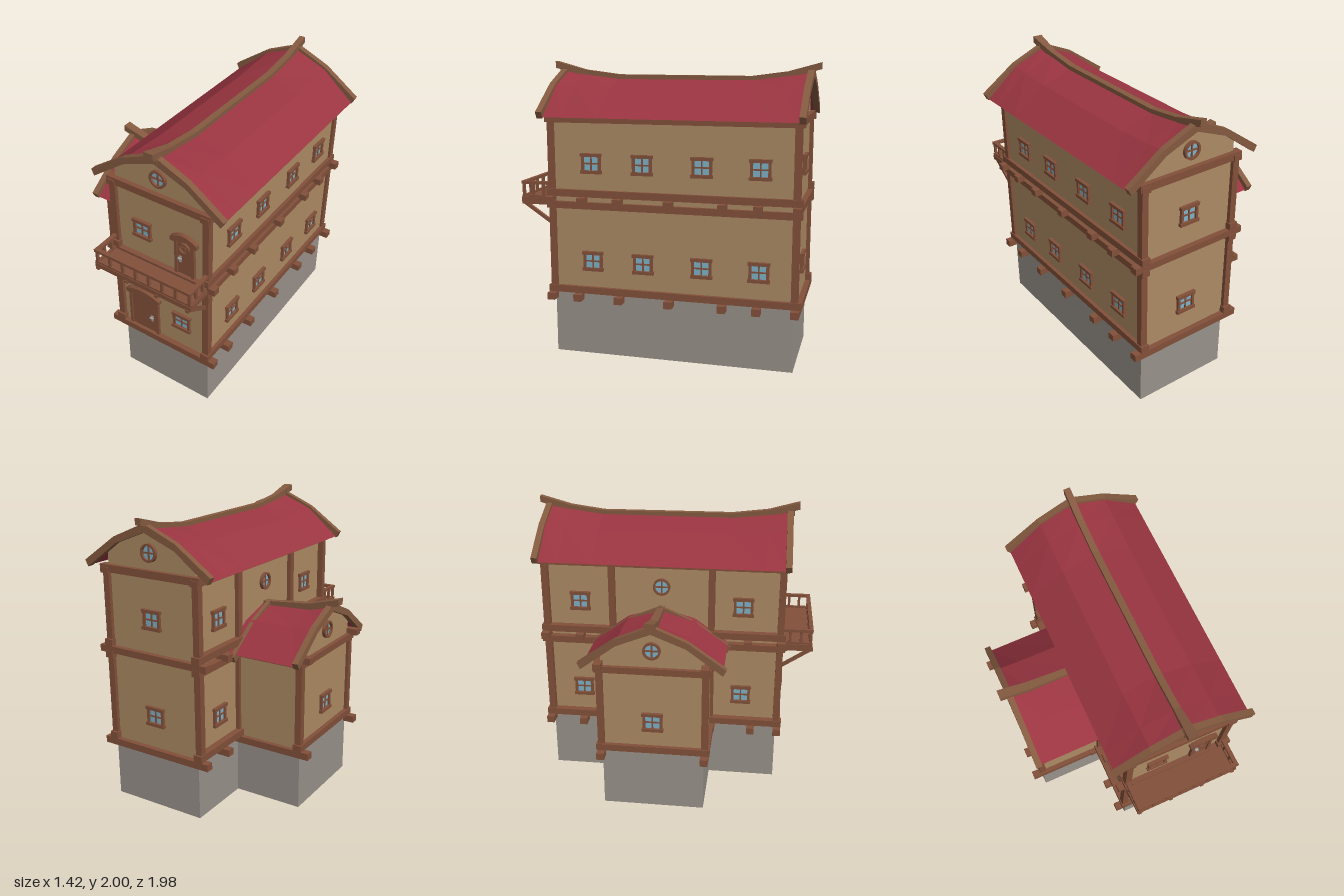
import * as THREE from 'three';

const mat = (name, color, side = THREE.FrontSide) => {
  const m = new THREE.MeshStandardMaterial({ color, side });
  m.name = name;
  return m;
};

export function createModel() {
  const plaster = mat('plaster', 0xac8a63);
  const wood = mat('wood', 0x82503a);
  const trimWood = mat('trimWood', 0x845a40);
  const tiles = mat('tiles', 0x9a3541, THREE.DoubleSide);
  const stone = mat('stone', 0x99918a, THREE.DoubleSide);
  const glass = mat('glass', 0x7db2c8);
  const metal = mat('metal', 0xa3a3a3);

  const house = new THREE.Group();
  house.name = 'house';

  const add = (parent, name, geo, m, x = 0, y = 0, z = 0) => {
    const mesh = new THREE.Mesh(geo, m);
    mesh.name = name;
    mesh.position.set(x, y, z);
    parent.add(mesh);
    return mesh;
  };
  // Box given by its extents on each axis
  const block = (parent, name, m, x0, x1, y0, y1, z0, z1) =>
    add(parent, name, new THREE.BoxGeometry(x1 - x0, y1 - y0, z1 - z0), m,
      (x0 + x1) / 2, (y0 + y1) / 2, (z0 + z1) / 2);
  const poly = (pts) => new THREE.Shape(pts.map(([x, y]) => new THREE.Vector2(x, y)));
  const extrude = (shape, depth, curveSegments = 8) =>
    new THREE.ExtrudeGeometry(shape, { depth, bevelEnabled: false, curveSegments });
  const group = (parent, name, x = 0, y = 0, z = 0, turn = 0) => {
    const g = new THREE.Group();
    g.name = name;
    g.position.set(x, y, z);
    g.rotation.y = turn;
    parent.add(g);
    return g;
  };

  // Stone base: open-bottomed walls round the T-shaped plan
  const plan = [[-0.12, -0.89], [0.57, -0.89], [0.57, 0.76], [-0.12, 0.76],
    [-0.12, 0.28], [-0.61, 0.28], [-0.61, -0.42], [-0.12, -0.42]];
  plan.forEach(([ax, az], i) => {
    const [bx, bz] = plan[(i + 1) % plan.length];
    const wall = add(house, 'foundationWall',
      new THREE.PlaneGeometry(Math.hypot(bx - ax, bz - az), 0.435), stone, (ax + bx) / 2, 0.2175, (az + bz) / 2);
    wall.rotation.y = Math.PI - Math.atan2(bz - az, bx - ax);
  });

  // Plastered walls
  block(house, 'mainWalls', plaster, -0.12, 0.57, 0.435, 1.64, -0.89, 0.76);
  block(house, 'wingWalls', plaster, -0.61, -0.115, 0.435, 1.06, -0.42, 0.28);

  // Main timber frame
  for (const x of [-0.14, 0.565]) {
    for (const z of [0.763, -0.892]) {
      block(house, 'post', wood, x - 0.023, x + 0.023, 0.435, 1.64, z - 0.023, z + 0.023);
    }
    for (const [y0, y1] of [[0.435, 0.482], [1.025, 1.072], [1.107, 1.155], [1.605, 1.645]]) {
      block(house, 'longBeam', wood, x - 0.03, x + 0.03, y0, y1, -0.93, 0.8);
    }
  }
  for (const z of [0.77, 0.58, 0.29, -0.06, -0.42, -0.65, -0.9]) {
    block(house, 'lowerCrossBeam', wood, -0.215, 0.64, 0.387, 0.435, z - 0.027, z + 0.027);
  }
  for (const z of [0.77, 0.54, 0.29, -0.06, -0.42, -0.65, -0.9]) {
    block(house, 'upperCrossBeam', wood, -0.215, 0.64, 1.062, 1.108, z - 0.027, z + 0.027);
  }
  for (const z of [0.765, -0.895]) {
    block(house, 'gableTieBeam', wood, -0.175, 0.605, 1.612, 1.662, z - 0.028, z + 0.028);
  }
  for (const z of [-0.42, 0.28]) {
    block(house, 'innerPost', wood, -0.15, -0.11, 0.48, 1.62, z - 0.023, z + 0.023);
  }

  // Wing timber frame
  for (const z of [-0.425, 0.285]) {
    block(house, 'wingPost', wood, -0.632, -0.587, 0.435, 1.06, z - 0.023, z + 0.023);
    block(house, 'wingLowerBeam', wood, -0.69, -0.12, 0.387, 0.435, z - 0.027, z + 0.027);
    block(house, 'wingUpperBeam', wood, -0.69, -0.12, 1.062, 1.105, z - 0.027, z + 0.027);
    block(house, 'wingEaveBeam', wood, -0.63, -0.12, 1.022, 1.05, z - 0.025, z + 0.025);
  }
  block(house, 'wingSill', wood, -0.64, -0.58, 0.435, 0.482, -0.46, 0.32);
  block(house, 'wingTieBeam', wood, -0.64, -0.58, 1.025, 1.07, -0.46, 0.32);

  // Curved roof sheet, ridge along z; rows are [z, ridge lift]
  const roofSheet = (parent, name, rows, drop) => {
    const d = [-0.47, -0.235, 0, 0.235, 0.47];
    const h = [1.645, 1.817, 1.887, 1.817, 1.645];
    const geo = new THREE.PlaneGeometry(1, 1, 4, rows.length - 1);
    rows.forEach(([z, lift], r) => d.forEach((x, c) =>
      geo.attributes.position.setXYZ(r * 5 + c, x, h[c] - drop + lift * (1 - Math.abs(x) / 0.47), z)));
    const flat = geo.toNonIndexed();
    flat.computeVertexNormals();
    add(parent, name, flat, tiles);
  };
  // Barge board following the roof end
  const bargeBoard = (parent, z, depth, drop) => {
    const half = [[0, 1.96], [0.24, 1.857], [0.492, 1.68], [0.47, 1.637], [0.228, 1.815], [0, 1.905]];
    const pts = [...half, ...half.slice(1, 5).reverse().map(([x, y]) => [-x, y])];
    add(parent, 'bargeBoard', extrude(poly(pts), depth), trimWood, 0, -drop, z);
  };
  const gable = (parent, z, drop) => add(parent, 'gableWall', extrude(poly([[-0.345, 1.6], [0.345, 1.6],
    [0.345, 1.74], [0.23, 1.828], [0, 1.918], [-0.23, 1.828], [-0.345, 1.74]]), 0.02), plaster, 0, -drop, z);
  // Ridge beam from side points [z, top], flaring to a wider front end
  const ridgeBeam = (parent, top, thick, flareFrom, flareTo, flare) => {
    const pts = [...top, ...top.slice().reverse().map(([z, y]) => [z, y - thick])];
    const geo = extrude(poly(pts), 0.044);
    geo.translate(0, 0, -0.022).rotateY(-Math.PI / 2);
    const p = geo.attributes.position;
    for (let i = 0; i < p.count; i++) {
      const t = THREE.MathUtils.clamp((p.getZ(i) - flareFrom) / (flareTo - flareFrom), 0, 1);
      p.setX(i, p.getX(i) * (1 + flare * t));
    }
    geo.computeVertexNormals();
    add(parent, 'ridgeBeam', geo, trimWood);
  };

  // Main roof
  const roof = group(house, 'mainRoof', 0.215);
  roofSheet(roof, 'mainRoofTiles', [[-0.905, 0.05], [-0.77, 0.03], [-0.53, 0], [0.39, 0], [0.64, 0.03], [0.775, 0.05]], 0);
  bargeBoard(roof, 0.77, 0.042, 0);
  bargeBoard(roof, -0.945, 0.042, 0);
  gable(roof, 0.74, 0);
  gable(roof, -0.89, 0);
  ridgeBeam(roof, [[-0.99, 2], [-0.77, 1.94], [-0.53, 1.908], [0.39, 1.912], [0.64, 1.943], [0.855, 2]], 0.045, 0.64, 0.85, 0.55);
  block(roof, 'ridgeEnd', trimWood, -0.033, 0.033, 1.91, 1.96, 0.77, 0.82);

  // Wing roof, local z pointing out to the side
  const wing = group(house, 'wingRoof', 0, 0, -0.07, -Math.PI / 2);
  roofSheet(wing, 'wingRoofTiles', [[0.12, -0.005], [0.49, 0.015], [0.625, 0.04]], 0.58);
  bargeBoard(wing, 0.62, 0.042, 0.583);
  bargeBoard(wing, 0.155, 0.03, 0.625);
  gable(wing, 0.59, 0.583);
  ridgeBeam(wing, [[0.13, 1.322], [0.49, 1.355], [0.71, 1.415]], 0.045, 0.16, 0.7, 0.5);

  // Square window facing local +z
  const squareWindow = (x, y, z, turn) => {
    const w = group(house, 'window', x, y, z, turn);
    block(w, 'windowGlass', glass, -0.052, 0.052, -0.052, 0.052, -0.005, 0.005);
    for (const s of [-1, 1]) {
      block(w, 'windowJamb', wood, s * 0.058 - 0.009, s * 0.058 + 0.009, -0.055, 0.055, -0.005, 0.018);
      block(w, 'windowRail', wood, -0.073, 0.073, s * 0.057 - 0.011, s * 0.057 + 0.011, -0.005, 0.024);
    }
    block(w, 'windowBar', wood, -0.005, 0.005, -0.05, 0.05, 0, 0.012);
    block(w, 'windowBar', wood, -0.05, 0.05, -0.005, 0.005, 0, 0.012);
  };
  const roundWindow = (x, y, z, turn, r) => {
    const w = group(house, 'roundWindow', x, y, z, turn);
    const ring = new THREE.Shape().absarc(0, 0, r, 0, Math.PI * 2);
    ring.holes.push(new THREE.Path().absarc(0, 0, r * 0.76, 0, Math.PI * 2, true));
    add(w, 'roundFrame', extrude(ring, 0.022, 16), wood);
    add(w, 'roundGlass', new THREE.CircleGeometry(r * 0.8, 20), glass, 0, 0, 0.006);
    block(w, 'windowBar', wood, -0.005, 0.005, -r * 0.8, r * 0.8, 0, 0.014);
    block(w, 'windowBar', wood, -r * 0.8, r * 0.8, -0.005, 0.005, 0, 0.014);
  };
  const RIGHT = Math.PI / 2, LEFT = -Math.PI / 2, BACK = Math.PI;
  for (const y of [0.665, 1.335]) {
    for (const z of [0.48, 0.125, -0.277, -0.658]) squareWindow(0.57, y, z, RIGHT);
    for (const z of [0.5, -0.65]) squareWindow(-0.12, y, z, LEFT);
    squareWindow(0.215, y, -0.89, BACK);
  }
  squareWindow(0.365, 0.66, 0.76, 0);
  squareWindow(0.072, 1.325, 0.76, 0);
  squareWindow(-0.61, 0.665, -0.07, LEFT);
  roundWindow(0.213, 1.77, 0.76, 0, 0.06);
  roundWindow(0.215, 1.77, -0.89, BACK, 0.06);
  roundWindow(-0.61, 1.19, -0.07, LEFT, 0.06);
  roundWindow(-0.12, 1.46, -0.07, LEFT, 0.06);

  // Arched door: half width w, side height h, arch rise
  const door = (x, y, w, h, rise, over, handleX, handleY) => {
    const g = group(house, 'door', x, y, 0.76);
    const leaf = new THREE.Shape();
    leaf.moveTo(-w, 0).lineTo(w, 0).lineTo(w, h).quadraticCurveTo(0, h + rise * 2, -w, h);
    add(g, 'doorLeaf', extrude(leaf, 0.012), wood);
    const o = w + over, t = 0.028;
    const arch = new THREE.Shape();
    arch.moveTo(-o, h - 0.01).lineTo(-w, h - 0.01).quadraticCurveTo(0, h + rise * 2 - 0.01, w, h - 0.01);
    arch.lineTo(o, h - 0.01).lineTo(o, h - 0.01 + t).quadraticCurveTo(0, h + rise * 2 + t, -o, h - 0.01 + t);
    add(g, 'doorArch', extrude(arch, 0.032), wood);
    for (const s of [-1, 1]) block(g, 'doorJamb', wood, s * w - 0.01, s * w + 0.01, 0, h, 0, 0.022);
    block(g, 'handlePlate', metal, handleX - 0.008, handleX + 0.008, handleY - 0.025, handleY + 0.025, 0.01, 0.017);
    block(g, 'handle', metal, handleX - 0.012, handleX + 0.012, handleY + 0.004, handleY + 0.014, 0.015, 0.03);
  };
  door(0.055, 0.435, 0.112, 0.305, 0.027, 0.026, 0.065, 0.12);
  door(0.402, 1.105, 0.064, 0.27, 0.032, 0.036, -0.033, 0.12);
  roundWindow(0.402, 1.325, 0.765, 0, 0.042);

  // Balcony with railing and struts
  const balcony = group(house, 'balcony');
  block(balcony, 'balconyFloor', wood, -0.16, 0.59, 1.055, 1.09, 0.77, 0.985);
  const rails = [[1.09, 1.104, 0.008], [1.18, 1.2, 0.014]];
  for (const [y0, y1, t] of rails) {
    block(balcony, 'frontRail', wood, -0.16, 0.59, y0, y1, 0.972 - t, 0.972 + t);
    for (const x of [-0.145, 0.575]) block(balcony, 'sideRail', wood, x - t, x + t, y0, y1, 0.78, 0.98);
  }
  for (let i = 0; i < 8; i++) {
    const x = -0.145 + i * 0.72 / 7;
    block(balcony, 'baluster', wood, x - 0.009, x + 0.009, 1.09, 1.185, 0.963, 0.981);
  }
  for (const x of [-0.145, 0.575]) {
    for (const z of [0.905, 0.83]) block(balcony, 'baluster', wood, x - 0.009, x + 0.009, 1.09, 1.185, z - 0.009, z + 0.009);
  }
  for (let i = 0; i < 4; i++) {
    const x = -0.14 + i * 0.235;
    block(balcony, 'joist', wood, x - 0.012, x + 0.012, 1.04, 1.06, 0.76, 0.99);
    const strut = add(balcony, 'strut', new THREE.BoxGeometry(0.022, 0.022, 0.245), wood, x, 0.982, 0.872);
    strut.rotation.x = -Math.atan2(0.135, 0.2);
  }

  return house;
}
